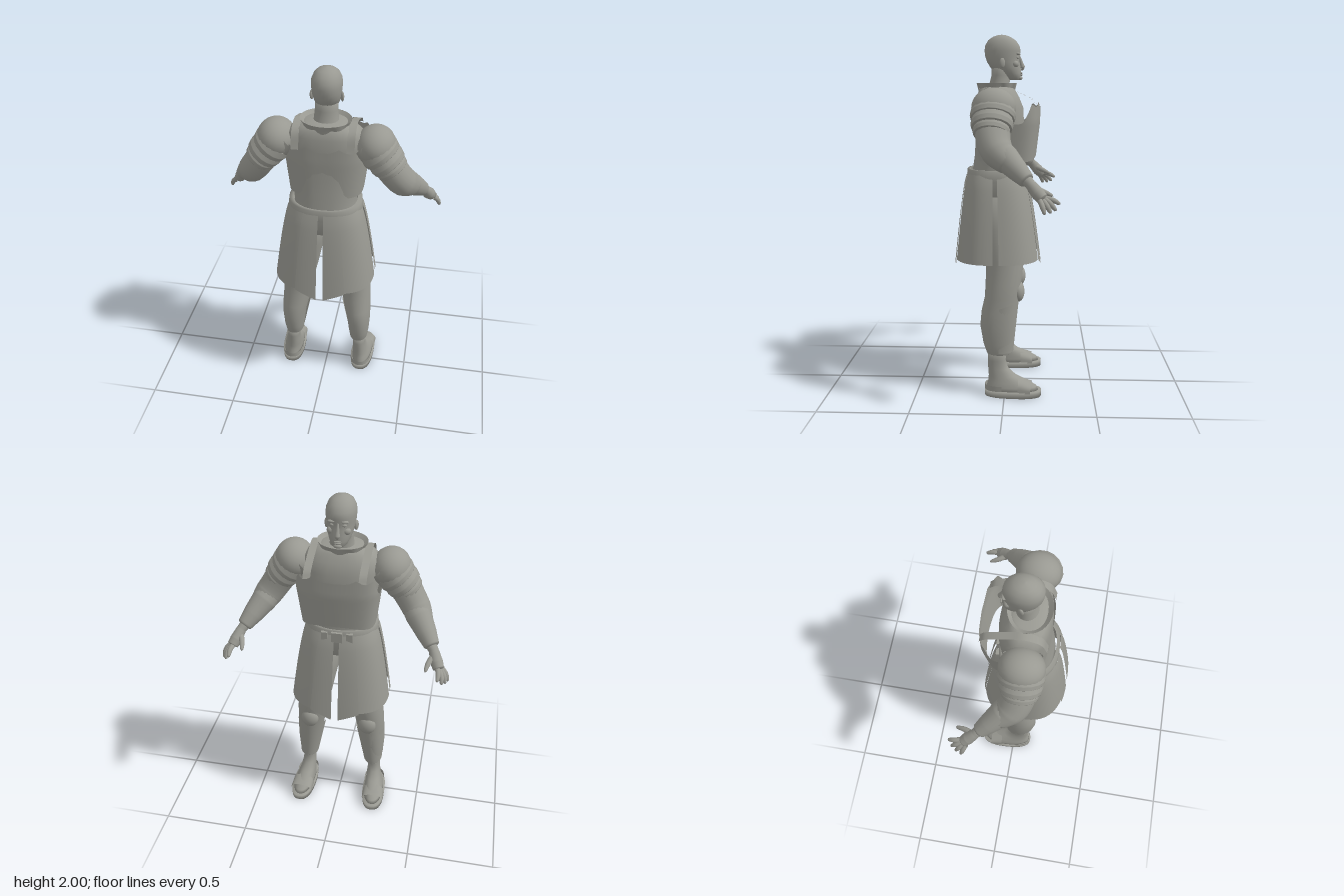
import * as THREE from 'three';
import { mergeVertices } from 'three/addons/utils/BufferGeometryUtils.js';

const grey = new THREE.MeshStandardMaterial({ color: 0x999992, side: THREE.DoubleSide });
grey.name = 'grey';
const V = (x, y, z) => new THREE.Vector3(x, y, z);

function add(group, name, geometry) {
  const mesh = new THREE.Mesh(geometry, grey);
  mesh.name = name;
  group.add(mesh);
  return mesh;
}

// Grid surface from f(u, v) -> [x, y, z]
function sheet(nu, nv, f) {
  const pos = [], idx = [];
  for (let j = 0; j <= nv; j++) for (let i = 0; i <= nu; i++) pos.push(...f(i / nu, j / nv));
  for (let j = 0; j < nv; j++) for (let i = 0; i < nu; i++) {
    const a = j * (nu + 1) + i, b = a + nu + 1;
    idx.push(a, b, a + 1, a + 1, b, b + 1);
  }
  let g = new THREE.BufferGeometry();
  g.setAttribute('position', new THREE.Float32BufferAttribute(pos, 3));
  g.setIndex(idx);
  g = mergeVertices(g, 1e-5);
  g.computeVertexNormals();
  return g;
}

// Point on a rounded-square ring
function ring(a, cx, cz, rx, rz, n = 2) {
  const p = (t) => Math.sign(t) * Math.abs(t) ** (2 / n);
  return [cx + rx * p(Math.cos(a)), cz + rz * p(Math.sin(a))];
}

// Closed body from rows [y, cx, cz, rx, rz], bottom to top
function loft(rows, n = 2, seg = 32) {
  const all = [[...rows[0].slice(0, 3), 0, 0], ...rows, [...rows.at(-1).slice(0, 3), 0, 0]];
  return sheet(seg, all.length - 1, (u, v) => {
    const [y, cx, cz, rx, rz] = all[Math.round(v * (all.length - 1))];
    const [x, z] = ring(u * Math.PI * 2, cx, cz, rx, rz, n);
    return [x, y, z];
  });
}

// Tapered limb along a curve; stops are [t, radius]
function limb(points, stops, zScale = 1, n = 40) {
  const path = new THREE.CatmullRomCurve3(points);
  let g = new THREE.TubeGeometry(path, n, 1, 18);
  const p = g.attributes.position;
  for (let i = 0; i < p.count; i++) {
    const t = Math.floor(i / 19) / n, c = path.getPointAt(t);
    let k = 1;
    while (k < stops.length - 1 && stops[k][0] < t) k++;
    const [t0, r0] = stops[k - 1], [t1, r1] = stops[k];
    const r = THREE.MathUtils.lerp(r0, r1, THREE.MathUtils.clamp((t - t0) / (t1 - t0), 0, 1));
    p.setXYZ(i, c.x + (p.getX(i) - c.x) * r, c.y + (p.getY(i) - c.y) * r, c.z + (p.getZ(i) - c.z) * r * zScale);
  }
  g.deleteAttribute('uv');
  g.deleteAttribute('normal');
  g = mergeVertices(g, 1e-5);
  g.computeVertexNormals();
  return g;
}

function ball(group, name, x, y, z, rx, ry, rz) {
  const m = add(group, name, new THREE.SphereGeometry(1, 24, 16));
  m.position.set(x, y, z);
  m.scale.set(rx, ry, rz);
  return m;
}

function buildHead(g) {
  // rows of [y, front z, back z, half width]
  const rows = [[1.755, -.07, -.02, .025], [1.765, -.082, 0, .04], [1.79, -.084, .045, .055], [1.82, -.081, .085, .067],
    [1.85, -.076, .105, .073], [1.88, -.073, .116, .077], [1.91, -.08, .12, .079], [1.94, -.074, .118, .077],
    [1.97, -.053, .1, .064], [1.988, -.025, .075, .045], [1.997, 0, .05, .022], [2, .02, .03, .005]];
  add(g, 'head', loft(rows.map(([y, f, b, w]) => [y, 0, (f + b) / 2, w, (b - f) / 2]), 2.1));
  add(g, 'neck', loft([[1.66, 0, .045, .085, .075], [1.72, 0, .04, .066, .058], [1.78, 0, .03, .06, .052], [1.84, 0, .025, .06, .055]]));
  add(g, 'nose', limb([V(0, 1.895, -.07), V(0, 1.85, -.083), V(0, 1.815, -.09), V(0, 1.808, -.078)],
    [[0, .004], [.4, .009], [.75, .014], [1, 0]]));
  ball(g, 'upperLip', 0, 1.793, -.084, .02, .005, .008);
  ball(g, 'lowerLip', 0, 1.783, -.083, .018, .006, .008);
  ball(g, 'chin', 0, 1.766, -.077, .022, .012, .014);
  for (const s of [-1, 1]) {
    ball(g, 'ear', s * .078, 1.845, .018, .009, .027, .016).rotation.y = s * .4;
    ball(g, 'eye', s * .03, 1.875, -.062, .013, .008, .01);
    ball(g, 'brow', s * .031, 1.896, -.066, .023, .007, .012);
    ball(g, 'cheek', s * .04, 1.84, -.05, .022, .02, .02);
  }
}

function buildTorso(g) {
  add(g, 'tunic', loft([[1.1, 0, .05, .19, .15], [1.25, 0, .05, .17, .14], [1.35, 0, .04, .175, .135], [1.5, 0, .035, .2, .135],
    [1.6, 0, .035, .205, .132], [1.66, 0, .045, .2, .118], [1.7, 0, .05, .16, .1], [1.725, 0, .05, .1, .08]], 2.4));
  // Breast and back plate in one shell: dipped armholes, scalloped neckline, front ridge
  add(g, 'cuirass', sheet(96, 14, (u, v) => {
    const a = u * Math.PI * 2, s = Math.abs(Math.sin(a)), front = Math.sin(a) < 0;
    const k = THREE.MathUtils.smoothstep(s, .2, .75), c = Math.abs(Math.cos(a));
    const top = 1.52 + (front ? .115 : .1) * k - k * .025 * Math.abs(Math.cos(c * 6));
    const low = 1.31 + (front ? .025 * (1 - c) : .01 * s);
    const y = low + (top - low) * v, w = Math.min(1, (y - 1.31) / .22);
    const p = ring(a, 0, .005 - .008 * w, .2 + .025 * w, .158 + .018 * w, front ? 4 : 2.8);
    if (front) p[1] -= .012 * (1 - Math.abs(p[0]) / .225) * s;
    return [p[0], y, p[1]];
  }));
  for (const s of [-1, 1]) {
    const strap = new THREE.CatmullRomCurve3([V(s * .145, 1.615, -.175), V(s * .145, 1.65, -.145), V(s * .145, 1.7, -.03),
      V(s * .145, 1.722, .05), V(s * .145, 1.69, .13), V(s * .145, 1.6, .165)]);
    add(g, 'shoulderStrap', sheet(2, 24, (u, v) => {
      const p = strap.getPoint(v);
      return [p.x + (u - .5) * .04, p.y, p.z];
    }));
  }
  // Flared collar with a torn lower edge
  add(g, 'collar', sheet(72, 2, (u, v) => {
    const i = Math.round(u * 72) % 72, a = i / 72 * Math.PI * 2;
    const drop = .025 + .03 * Math.abs((i % 9) / 4.5 - 1), k = 1 - .12 * v;
    const [x, z] = ring(a, 0, .053, .135 * k, .112 * k);
    return [x, 1.738 - v * drop, z];
  }));
  add(g, 'collarLining', sheet(48, 1, (u, v) => {
    const [x, z] = ring(u * Math.PI * 2, 0, .053, .135 - .06 * v, .112 - .05 * v);
    return [x, 1.738 - .05 * v, z];
  }));
}

function buildSkirt(g) {
  const belt = [[1.2, .19, .155], [1.2, .205, .165], [1.265, .2, .163], [1.265, .175, .145]];
  add(g, 'belt', sheet(48, 3, (u, v) => {
    const [y, rx, rz] = belt[Math.round(v * 3)];
    const [x, z] = ring(u * Math.PI * 2, 0, .055, rx, rz, 2.3);
    return [x, y, z];
  }));
  add(g, 'buckle', new THREE.BoxGeometry(.06, .06, .02)).position.set(0, 1.232, -.113);
  for (const s of [-1, 1]) add(g, 'beltPlate', new THREE.BoxGeometry(.035, .05, .02)).position.set(s * .07, 1.232, -.107);
  // Eight panels: [start angle, end angle, size, pointed]
  const panels = [[68, 88.5, 1, 1], [1.5, 70, .975, 0], [-70, -1.5, .975, 0], [-88.5, -68, 1, 1]];
  for (const s of [-1, 1]) for (const [a0, a1, k, pointed] of panels) {
    add(g, pointed ? 'pointedSkirtPanel' : 'sideSkirtPanel', sheet(16, 12, (u, v) => {
      const a = THREE.MathUtils.degToRad(a0 + (a1 - a0) * u), w = v ** .7;
      const [x, z] = ring(a, 0, .055 - .01 * w, (.2 + .093 * w) * k, (.165 + .08 * w) * k, 2.7);
      const bottom = .76 - (pointed ? .06 * (1 - Math.min(1, Math.abs(x) / .145)) : 0);
      return [s * x, 1.24 + (bottom - 1.24) * v, z];
    }));
  }
}

function buildArm(g) {
  add(g, 'upperArm', limb([V(.2, 1.62, .05), V(.3, 1.54, .06), V(.4, 1.4, .035), V(.46, 1.32, -.05)],
    [[0, .09], [.4, .085], [.75, .078], [.97, .06], [1, 0]], 1.1));
  add(g, 'forearmGuard', limb([V(.385, 1.41, .035), V(.45, 1.335, -.04), V(.52, 1.25, -.13)],
    [[0, 0], [.025, .066], [.3, .07], [.7, .055], [.95, .042], [.975, .038], [1, 0]]));
  // Overlapping shoulder plates
  ball(g, 'shoulderCap', .262, 1.607, .055, .105, .105, .118);
  const lame = (t) => V(.255 + .11 * t, 1.605 - .135 * t, .055 + .008 * t);
  for (const [t0, t1, r] of [[.05, .45, .107], [.35, .78, .099], [.65, 1, .086]])
    add(g, 'shoulderPlate', limb([lame(t0), lame((t0 + t1) / 2), lame(t1)],
      [[0, 0], [.03, r * .93], [.6, r], [.95, r * .95], [1, r * .78]], 1.14));
  // Hand
  add(g, 'palm', limb([V(.505, 1.265, -.115), V(.53, 1.235, -.145), V(.55, 1.195, -.18), V(.568, 1.165, -.21)],
    [[0, .03], [.3, .027], [.7, .034], [.95, .03], [1, 0]]));
  const fingers = [[.583, 1.165, -.19, .62, 1.1, -.215], [.578, 1.165, -.205, .608, 1.105, -.245],
    [.57, 1.17, -.215, .59, 1.115, -.272], [.56, 1.175, -.215, .565, 1.145, -.292]];
  for (const [x, y, z, X, Y, Z] of fingers)
    add(g, 'finger', limb([V(x, y, z), V((x + X) / 2 + .004, (y + Y) / 2 + .006, (z + Z) / 2), V(X, Y, Z)],
      [[0, .014], [.6, .013], [.92, .009], [1, 0]], 1, 14));
  add(g, 'thumb', limb([V(.535, 1.22, -.155), V(.51, 1.2, -.205), V(.497, 1.175, -.258)],
    [[0, .018], [.6, .014], [.92, .009], [1, 0]], 1, 14));
}

function buildLeg(g) {
  add(g, 'trouserLeg', loft([[.235, .203, .03, .046, .062], [.24, .203, .03, .053, .07], [.3, .203, .035, .061, .085],
    [.4, .2, .037, .07, .1], [.48, .19, .03, .078, .1], [.56, .18, .015, .084, .097], [.64, .172, .008, .088, .1],
    [.76, .15, 0, .095, .105], [.95, .125, .02, .108, .125], [1.12, .1, .04, .095, .12]], 2.1));
  add(g, 'kneePad', new THREE.SphereGeometry(1, 24, 16)).scale.set(.052, .06, .035);
  g.children.at(-1).position.set(.175, .59, -.075);
  // Shin plate wrapped round the front
  add(g, 'greave', sheet(20, 10, (u, v) => {
    const y = .25 + v * (.26 + .03 * Math.sin(u * Math.PI));
    const [x, z] = ring(Math.PI * (.97 + 1.06 * u), .204 - .022 * v, .025 - .005 * v, .056 + .03 * v, .073 + .025 * v);
    return [x, y, z];
  }));
  // Foot and sandal
  const foot = new THREE.Group();
  foot.name = 'foot';
  foot.position.x = .215;
  foot.rotation.y = -.05;
  g.add(foot);
  add(foot, 'bareFoot', loft([[.03, .008, -.045, .06, .148], [.055, .007, -.04, .058, .14], [.08, .004, -.02, .051, .113],
    [.11, 0, .012, .045, .078], [.15, -.002, .036, .039, .057], [.2, -.004, .045, .037, .05], [.25, -.006, .04, .043, .055]], 2.2));
  add(foot, 'sole', loft([[0, .008, -.048, .068, .158], [.035, .008, -.048, .07, .16]], 2.5));
  add(foot, 'sandalStrap', sheet(20, 4, (u, v) => {
    const a = u * Math.PI;
    return [.008 + .066 * Math.cos(a), .03 + (.045 + .025 * v) * Math.sin(a) ** .6, -.15 + .07 * v];
  }));
  add(foot, 'heelStrap', sheet(24, 1, (u, v) => {
    const [x, z] = ring(Math.PI * u, .006, .01, .063, .1, 2.3);
    return [x, .035 + .03 * v, z];
  }));
}

export function createModel() {
  const model = new THREE.Group();
  model.name = 'armouredFigure';
  const part = (name, build, mirror = 1) => {
    const g = new THREE.Group();
    g.name = name;
    g.scale.x = mirror;
    build(g);
    model.add(g);
  };
  part('headAndNeck', buildHead);
  part('torso', buildTorso);
  part('skirt', buildSkirt);
  for (const s of [1, -1]) {
    part(s > 0 ? 'leftArm' : 'rightArm', buildArm, s);
    part(s > 0 ? 'leftLeg' : 'rightLeg', buildLeg, s);
  }
  return model;
}
